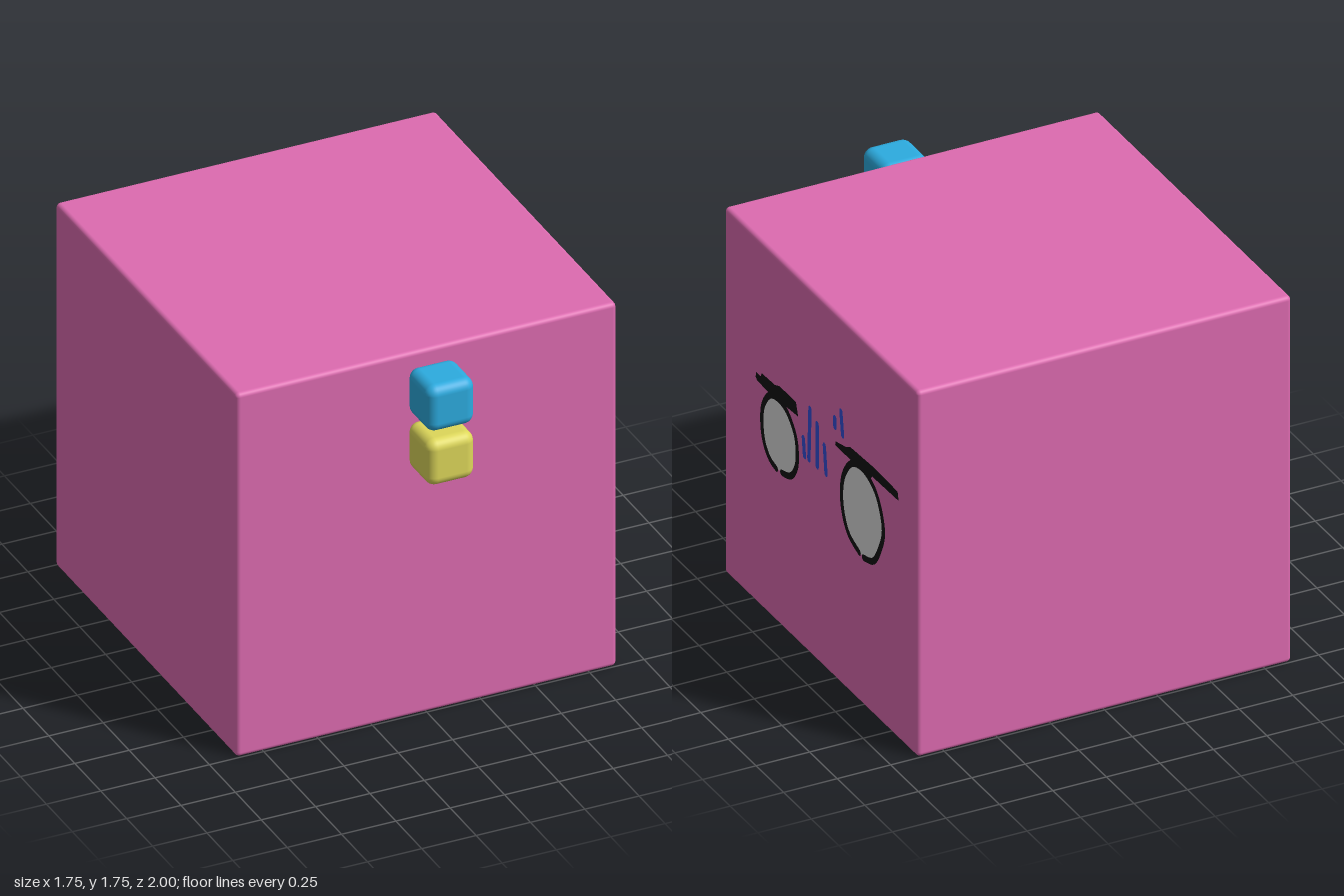
import * as THREE from 'three';
import { RoundedBoxGeometry } from 'three/addons/geometries/RoundedBoxGeometry.js';

const mat = (name, color, flat) => {
  const m = new THREE.MeshStandardMaterial({ color });
  m.name = name;
  if (flat) m.side = THREE.DoubleSide;
  return m;
};

export function createModel() {
  const model = new THREE.Group();
  const pink = mat('pink', 0xdd6bb0);
  const blue = mat('skyBlue', 0x2cabdf);
  const yellow = mat('yellow', 0xddd75a);
  const white = mat('eyeWhite', 0xdadada, true);
  const black = mat('black', 0x101010, true);
  const ink = mat('inkBlue', 0x3350d8, true);

  const block = (name, size, radius, material, x, y, z) => {
    const m = new THREE.Mesh(new RoundedBoxGeometry(size, size, size, 4, radius), material);
    m.name = name;
    m.position.set(x, y, z);
    model.add(m);
  };

  // Large body and the two small blocks floating in front of it
  block('body', 1.75, 0.02, pink, 0, 0.875, -0.125);
  block('upperBlock', 0.22, 0.045, blue, 0, 1.6, 0.89);
  block('lowerBlock', 0.22, 0.045, yellow, 0, 1.34, 0.89);

  // Painted face on the +x side: 2D points are (-z, y)
  const vec = (pts) => pts.map(([u, v]) => new THREE.Vector2(u, v));
  const paint = (name, outline, material, x) => {
    const g = new THREE.ShapeGeometry(new THREE.Shape(outline));
    g.rotateY(Math.PI / 2);
    const m = new THREE.Mesh(g, material);
    m.name = name;
    m.position.x = x;
    model.add(m);
  };

  // Brush stroke of constant width with round ends along a smooth path
  const stroke = (name, pts, width, material, x) => {
    const path = new THREE.SplineCurve(vec(pts));
    const n = pts.length > 2 ? 60 : 4, r = width / 2;
    const left = [], right = [], endCap = [], startCap = [];
    for (let i = 0; i <= n; i++) {
      const p = path.getPoint(i / n), t = path.getTangent(i / n);
      left.push(new THREE.Vector2(p.x - t.y * r, p.y + t.x * r));
      right.unshift(new THREE.Vector2(p.x + t.y * r, p.y - t.x * r));
    }
    const cap = (list, s) => {
      const p = path.getPoint(s), t = path.getTangent(s);
      const a0 = Math.atan2(t.y, t.x) + (s ? Math.PI / 2 : -Math.PI / 2);
      for (let k = 1; k < 6; k++) {
        const a = a0 - (k / 6) * Math.PI;
        list.push(new THREE.Vector2(p.x + Math.cos(a) * r, p.y + Math.sin(a) * r));
      }
    };
    cap(endCap, 1);
    cap(startCap, 0);
    paint(name, [...left, ...endCap, ...right, ...startCap], material, x);
  };

  // Eyes: white disc with a rim left open at the bottom
  const eyes = {
    front: [[-0.22, 0.745], [-0.14, 0.77], [-0.09, 0.835], [-0.08, 0.91], [-0.1, 0.99], [-0.17, 1.06], [-0.25, 1.08],
      [-0.33, 1.06], [-0.39, 0.98], [-0.4, 0.89], [-0.38, 0.81], [-0.33, 0.757], [-0.27, 0.74]],
    rear: [[0.52, 0.715], [0.61, 0.745], [0.67, 0.835], [0.7, 0.93], [0.67, 1.03], [0.61, 1.1], [0.51, 1.135],
      [0.41, 1.11], [0.34, 1.02], [0.32, 0.92], [0.34, 0.825], [0.39, 0.757], [0.48, 0.72]],
  };
  for (const [key, pts] of Object.entries(eyes)) {
    paint(key + 'EyeWhite', new THREE.SplineCurve(vec(pts)).getPoints(60), white, 0.877);
    stroke(key + 'EyeRim', pts, 0.03, black, 0.879);
  }

  // Eyebrows
  paint('frontBrow', vec([[-0.455, 1.085], [-0.45, 1.11], [-0.41, 1.11], [-0.4, 1.13], [-0.28, 1.135], [-0.24, 1.15],
    [-0.09, 1.15], [-0.07, 1.09], [-0.15, 1.085], [-0.35, 1.07], [-0.44, 1.075]]), black, 0.88);
  paint('rearBrow', vec([[0.265, 1.125], [0.27, 1.145], [0.36, 1.165], [0.4, 1.185], [0.6, 1.195], [0.83, 1.19],
    [0.84, 1.15], [0.6, 1.145], [0.58, 1.12], [0.4, 1.125]]), black, 0.88);

  // Blue ink dashes between and above the eyes
  const dashes = [
    [[-0.025, 1.01], [-0.015, 0.93]], [[0.035, 1.18], [0.025, 0.935]], [[0.1, 1.14], [0.1, 0.94]],
    [[0.165, 1.07], [0.18, 0.945]], [[0.26, 1.25], [0.26, 1.21]], [[0.315, 1.31], [0.33, 1.205]],
  ];
  dashes.forEach((d, i) => stroke('inkDash' + (i + 1), d, 0.03, ink, 0.879));

  return model;
}
